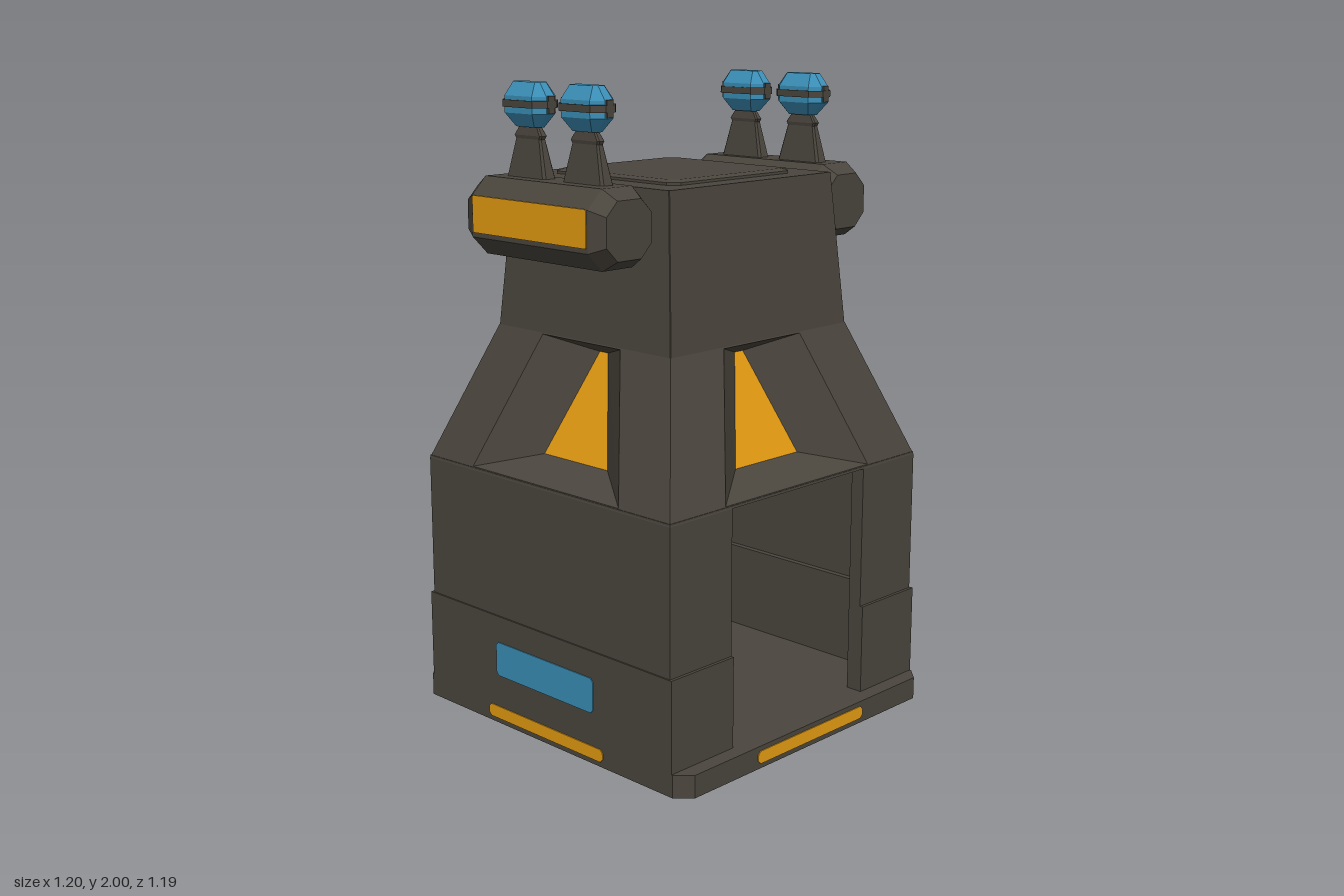
import * as THREE from 'three';

const mat = (name, color) => {
  const m = new THREE.MeshStandardMaterial({ color });
  m.name = name;
  return m;
};

// Flat-shaded geometry from a list of quads and triangles
function fromFaces(faces) {
  const pos = [];
  for (const f of faces)
    for (let i = 1; i < f.length - 1; i++) pos.push(...f[0], ...f[i], ...f[i + 1]);
  const g = new THREE.BufferGeometry();
  g.setAttribute('position', new THREE.Float32BufferAttribute(pos, 3));
  g.computeVertexNormals();
  return g;
}

// Rectangle with cut corners at height y
const oct = (hx, hz, c, y) => [
  [hx, y, hz - c], [hx, y, -hz + c], [hx - c, y, -hz], [-hx + c, y, -hz],
  [-hx, y, -hz + c], [-hx, y, hz - c], [-hx + c, y, hz], [hx - c, y, hz]];

// Capped solid through rings, listed bottom to top
function loft(rings) {
  const faces = [[...rings[0]].reverse(), rings[rings.length - 1]];
  for (let k = 0; k < rings.length - 1; k++) {
    const a = rings[k], b = rings[k + 1], n = a.length;
    for (let i = 0; i < n; i++) {
      const j = (i + 1) % n;
      faces.push([a[i], a[j], b[j], b[i]]);
    }
  }
  return fromFaces(faces);
}

export function createModel() {
  const stone = mat('dark stone', 0x4a453d);
  const amber = mat('amber light', 0xe59c12);
  const blue = mat('blue glass', 0x3b8fb8);
  const root = new THREE.Group();
  root.name = 'tower';

  const add = (parent, name, geo, material, x = 0, y = 0, z = 0) => {
    const m = new THREE.Mesh(geo, material);
    m.name = name;
    m.position.set(x, y, z);
    parent.add(m);
    return m;
  };
  const box = (parent, name, w, h, d, x, y, z) =>
    add(parent, name, new THREE.BoxGeometry(w, h, d), stone, x, y, z);
  // Thin panel with cut corners, facing +z
  const plate = (parent, name, hx, hy, c, material, x, y, z) =>
    add(parent, name, loft([oct(hx, hy, c, -0.004), oct(hx, hy, c, 0.004)]).rotateX(Math.PI / 2), material, x, y, z);

  // Base slab with arrow plates underneath
  add(root, 'baseSlab', loft([oct(0.595, 0.56, 0.045, 0.004), oct(0.595, 0.56, 0.045, 0.075)]), stone);
  for (const sx of [-1, 1]) for (const sz of [-1, 1]) {
    const foot = add(root, 'footPlate', new THREE.CylinderGeometry(0.12, 0.12, 0.006, 3), stone, sx * 0.35, 0.003, sz * 0.33);
    foot.rotation.y = Math.atan2(sx, sz);
  }

  // Sloped tower side with a sunken pocket and a lit pane, facing +z
  function slopedSide(parent, wb, wt, db, dt) {
    const at = (x, y, sink = 0) => [x, y, db + (dt - db) * (y - 0.81) / 0.43 - sink];
    const ring = (b, yb, t, yt, sink) => [at(-b, yb, sink), at(b, yb, sink), at(t, yt, sink), at(-t, yt, sink)];
    const rings = [ring(wb, 0.81, wt, 1.24), ring(0.325, 0.82, 0.17, 1.236), ring(0.14, 0.87, 0.018, 1.19, 0.113)];
    const faces = [];
    for (let k = 0; k < 2; k++) for (let i = 0; i < 4; i++) {
      const j = (i + 1) % 4;
      faces.push([rings[k][i], rings[k][j], rings[k + 1][j], rings[k + 1][i]]);
    }
    add(parent, 'slopedSide', fromFaces(faces), stone);
    add(parent, 'windowPane', fromFaces([rings[2]]), amber);
  }

  // Gem lamp on a tapered stem
  function lamp(parent, x) {
    const g = new THREE.Group();
    g.name = 'lamp';
    g.position.set(x, 0, 0.468);
    parent.add(g);
    add(g, 'lampStem', loft([oct(0.088, 0.026, 0.008, 1.71), oct(0.055, 0.012, 0.005, 1.835),
      oct(0.06, 0.014, 0.005, 1.845), oct(0.035, 0.008, 0.004, 1.88)]), stone);
    add(g, 'lampGem', loft([oct(0.05, 0.02, 0.01, 1.87), oct(0.09, 0.046, 0.03, 1.91),
      oct(0.09, 0.046, 0.03, 1.96), oct(0.058, 0.022, 0.01, 2)]), blue);
    add(g, 'lampBand', loft([oct(0.097, 0.05, 0.032, 1.927), oct(0.097, 0.05, 0.032, 1.948)]), stone);
    for (const s of [-1, 1])
      box(g, 'lampClip', 0.012, 0.05, 0.024, s * 0.089, 1.937, 0);
  }

  // Front and back
  for (const turn of [0, Math.PI]) {
    const g = new THREE.Group();
    g.name = turn ? 'backSide' : 'frontSide';
    g.rotation.y = turn;
    root.add(g);
    box(g, 'wall', 1.07, 0.76, 0.05, 0, 0.43, 0.53);
    box(g, 'wallSkirt', 1.09, 0.29, 0.075, 0, 0.215, 0.5225);
    for (const s of [-1, 1]) {
      box(g, 'doorPost', 0.045, 0.76, 0.255, s * 0.5125, 0.43, 0.4275);
      box(g, 'postSkirt', 0.055, 0.29, 0.26, s * 0.5175, 0.215, 0.43);
    }
    plate(g, 'bluePanel', 0.22, 0.055, 0.01, blue, 0, 0.22, 0.559);
    plate(g, 'baseLight', 0.26, 0.02, 0.01, amber, 0, 0.04, 0.559);
    slopedSide(g, 0.535, 0.375, 0.555, 0.39);

    // Lamp housing
    const pod = loft([oct(0.085, 0.088, 0.042, -0.3), oct(0.116, 0.113, 0.055, -0.25),
      oct(0.116, 0.113, 0.055, 0.25), oct(0.085, 0.088, 0.042, 0.3)]).rotateZ(-Math.PI / 2);
    add(g, 'lampHousing', pod, stone, 0, 1.607, 0.477);
    plate(g, 'housingLight', 0.245, 0.055, 0.004, amber, 0, 1.615, 0.589);
    for (const s of [-1, 1]) lamp(g, s * 0.122);
  }

  // Left and right
  for (const s of [-1, 1]) {
    const g = new THREE.Group();
    g.name = s > 0 ? 'leftSide' : 'rightSide';
    g.rotation.y = s * Math.PI / 2;
    root.add(g);
    slopedSide(g, 0.555, 0.39, 0.535, 0.375);
    plate(g, 'baseLight', 0.245, 0.02, 0.01, amber, 0, 0.04, 0.594);
  }

  // Ceiling of the open chamber
  box(root, 'ceiling', 1.068, 0.008, 1.108, 0, 0.814, 0);

  // Upper tower and roof panel
  add(root, 'upperTower', loft([oct(0.375, 0.39, 0.002, 1.24), oct(0.335, 0.355, 0.002, 1.71)]), stone);
  add(root, 'roofPanel', loft([oct(0.265, 0.265, 0.03, 1.705), oct(0.265, 0.265, 0.03, 1.718),
    oct(0.245, 0.245, 0.02, 1.725)]), stone);

  // Pedestal inside the chamber
  add(root, 'pedestal', loft([oct(0.045, 0.045, 0.015, 0.07), oct(0.032, 0.032, 0.01, 0.1),
    oct(0.032, 0.032, 0.01, 0.37), oct(0.042, 0.042, 0.014, 0.39), oct(0.042, 0.042, 0.014, 0.4)]), stone);
  for (const s of [-1, 1]) {
    const strip = plate(root, 'pedestalLight', 0.012, 0.11, 0.003, amber, s * 0.032, 0.24, 0);
    strip.rotation.y = s * Math.PI / 2;
  }
  return root;
}
